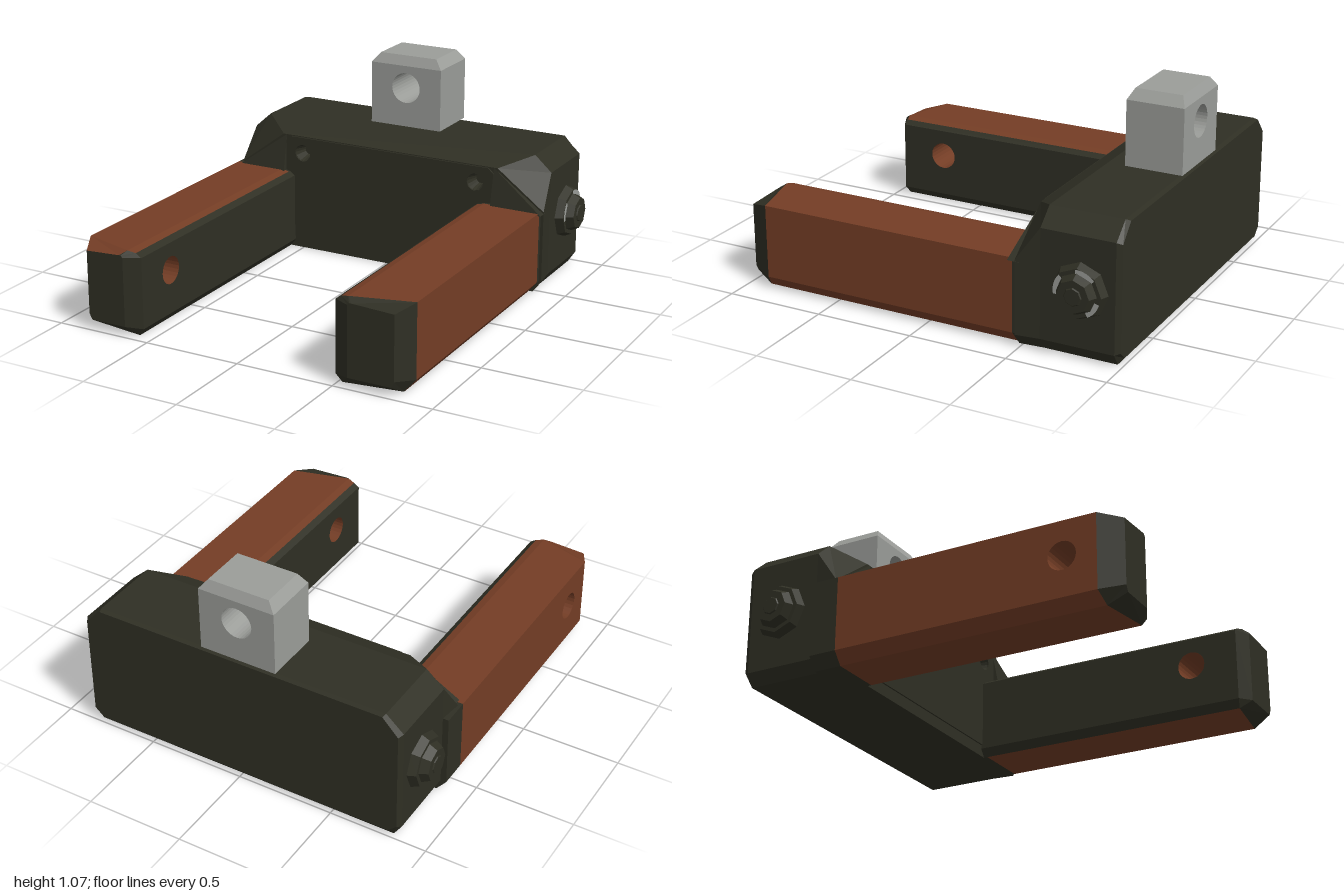
import * as THREE from 'three';
import { ConvexGeometry } from 'three/addons/geometries/ConvexGeometry.js';

const mat = (name, color) => new THREE.MeshStandardMaterial({ name, color, flatShading: true, side: THREE.DoubleSide });

// Skin rings (counter-clockwise seen from +z, ordered by rising z).
// pick(i, j) gives the material index of a panel, or -1 to leave it open.
function loft(rings, { pick = () => 0, capStart = true, capEnd = true, capMat = 0, flip = false } = {}) {
  const buckets = [[], []];
  const tri = (m, a, b, c) => buckets[m].push(...a, ...(flip ? c : b), ...(flip ? b : c));
  const n = rings[0].length;
  for (let i = 0; i < rings.length - 1; i++) {
    for (let j = 0; j < n; j++) {
      const m = pick(i, j), k = (j + 1) % n;
      if (m < 0) continue;
      const a = rings[i][j], b = rings[i][k], c = rings[i + 1][k], d = rings[i + 1][j];
      tri(m, a, b, c);
      tri(m, a, c, d);
    }
  }
  const first = rings[0], last = rings[rings.length - 1];
  for (let j = 1; j < n - 1; j++) {
    if (capStart) tri(capMat, first[0], first[j + 1], first[j]);
    if (capEnd) tri(capMat, last[0], last[j], last[j + 1]);
  }
  const g = new THREE.BufferGeometry();
  g.setAttribute('position', new THREE.Float32BufferAttribute(buckets.flat(), 3));
  g.addGroup(0, buckets[0].length / 3, 0);
  g.addGroup(buckets[0].length / 3, buckets[1].length / 3, 1);
  g.computeVertexNormals();
  return g;
}

function shapeOf(points, holes = []) {
  const s = new THREE.Shape(points.map(([x, y]) => new THREE.Vector2(x, y)));
  for (const [x, y, r] of holes) s.holes.push(new THREE.Path().absarc(x, y, r, 0, Math.PI * 2, true));
  return s;
}

const rect = (x0, y0, x1, y1) => [[x0, y0], [x1, y0], [x1, y1], [x0, y1]];

export function createModel() {
  const dark = mat('darkOlive', 0x2f2f24);
  const rust = mat('rustOrange', 0x743d25);
  const grey = mat('lightGrey', 0x9b9d99);
  const root = new THREE.Group();
  root.name = 'forkBracket';
  const add = (name, geometry, material, parent = root) => {
    const m = new THREE.Mesh(geometry, material);
    m.name = name;
    parent.add(m);
    return m;
  };

  // Main crossbar, chamfered and sloping down at the front
  const half = (pts, z) => [
    ...pts.map(([x, y]) => [x, y, z]),
    ...pts.slice().reverse().map(([x, y]) => [-x, y, z]),
  ];
  const bar = [[0.82, 0], [0.86, 0.06], [0.86, 0.6], [0.77, 0.68]];
  const back = [[0.8, 0.03], [0.845, 0.07], [0.845, 0.59], [0.765, 0.675]];
  const front = [[0.83, 0], [0.875, 0.06], [0.875, 0.43], [0.62, 0.62]];
  const frontRing = half(front, -0.48);
  add('crossbar', loft([half(back, -0.995), half(bar, -0.97), half(bar, -0.6), frontRing], { capEnd: false }), dark);

  // Front wall with two screw sockets and a thin raised panel
  const sockets = [[-0.5, 0.53, 0.045], [0.5, 0.53, 0.045]];
  const wall = new THREE.ShapeGeometry(shapeOf(frontRing, sockets), 10);
  wall.translate(0, 0, -0.48);
  add('frontWall', wall, dark);
  const panel = new THREE.ExtrudeGeometry(
    shapeOf([[-0.6, 0.06], [0.6, 0.06], [0.6, 0.59], [0.57, 0.615], [-0.57, 0.615], [-0.6, 0.59]], sockets),
    { depth: 0.008, bevelEnabled: false, curveSegments: 10 });
  panel.translate(0, 0, -0.48);
  add('frontPanel', panel, dark);
  for (const [x, y, r] of sockets) {
    const tube = new THREE.CylinderGeometry(r, r * 0.6, 0.07, 16, 1, true).rotateX(Math.PI / 2);
    add('screwSocket', tube.translate(x, y, -0.515), dark);
    add('socketFloor', new THREE.CircleGeometry(r * 0.6, 16).translate(x, y, -0.55), dark);
  }

  // Fork arms: rust shell, dark inner face, root and tip
  const holeZ = 0.71, holeY = 0.26, holeR = 0.07;
  function arm(name, s, inn, out, through) {
    const g = new THREE.Group();
    g.name = name;
    root.add(g);
    const section = [[inn + 0.03, 0], [out - 0.05, 0], [out, 0.06], [out, 0.43],
      [inn + 0.07, 0.43], [inn + 0.03, 0.42], [inn, 0.4], [inn, 0.04]];
    const shoulderZ = [0.94, 0.9, 0.88, 0.88, 0.96, 0.95, 0.95, 0.95];
    const tip = [[inn + 0.08, 0.05], [out - 0.07, 0.05], [out - 0.055, 0.08], [out - 0.055, 0.4],
      [inn + 0.1, 0.41], [inn + 0.09, 0.41], [inn + 0.08, 0.4], [inn + 0.08, 0.06]];
    const at = (pts, z) => pts.map(([x, y], j) => [s * x, y, Array.isArray(z) ? z[j] : z]);
    const pick = (i, j) => {
      if (i === 1 && (j === 6 || (j === 2 && through))) return -1;
      if (i === 1) return j < 5 ? 1 : 0;
      return i === 2 && j === 3 && through ? 1 : 0;
    };
    const rings = [at(section, -0.6), at(section, -0.46), at(section, shoulderZ), at(tip, 0.99)];
    add('armShell', loft(rings, { pick, flip: s < 0 }), [dark, rust], g);

    // Flat side faces with the pin hole
    const side = (label, x, dir, y0, y1, z1, material) => {
      const k = -dir;
      const shape = shapeOf(rect(k * -0.46, y0, k * z1, y1), [[k * holeZ, holeY, holeR]]);
      const geo = new THREE.ShapeGeometry(shape, 12).rotateY(dir * Math.PI / 2);
      add(label, geo.translate(x, 0, 0), material, g);
    };
    side('innerFace', s * inn, -s, 0.04, 0.4, 0.95, dark);
    if (through) side('outerFace', s * out, s, 0.06, 0.43, 0.88, rust);

    // Hole lining, closed at the end when blind
    const depth = through ? out - inn : 0.25;
    const lining = new THREE.CylinderGeometry(holeR, holeR, depth, 24, 1, !!through).rotateZ(Math.PI / 2);
    if (!through) {
      const open = new THREE.CylinderGeometry(holeR, holeR, depth, 24, 1, true).rotateZ(Math.PI / 2);
      add('pinHole', open.translate(s * (inn + depth / 2), holeY, holeZ), rust, g);
      const floor = new THREE.CircleGeometry(holeR, 24).rotateY(-s * Math.PI / 2);
      add('pinHoleFloor', floor.translate(s * (inn + depth), holeY, holeZ), rust, g);
    } else {
      add('pinHole', lining.translate(s * (inn + depth / 2), holeY, holeZ), rust, g);
    }

    // Sloped shoulder above the arm root
    const pts = [[0.6, 0.62, -0.48], [0.6, 0.62, -0.5], [0.6, 0.42, -0.44], [0.6, 0.42, -0.5],
      [0.875, 0.42, -0.44], [0.875, 0.42, -0.5]].map(([x, y, z]) => new THREE.Vector3(s * x, y, z));
    add('shoulder', new ConvexGeometry(pts), dark, g);
  }
  arm('leftArm', 1, 0.49, 0.86, false);
  arm('rightArm', -1, 0.55, 0.89, true);

  // Side bolts: bevelled washer, head and small centre cap
  for (const s of [1, -1]) {
    const bolt = new THREE.Group();
    bolt.name = s > 0 ? 'leftBolt' : 'rightBolt';
    bolt.position.set(s * 0.855, 0.34, -0.8);
    bolt.rotation.z = -s * Math.PI / 2;
    root.add(bolt);
    const disc = (name, rTop, rBottom, y0, y1, sides) =>
      add(name, new THREE.CylinderGeometry(rTop, rBottom, y1 - y0, sides).translate(0, (y0 + y1) / 2, 0), dark, bolt);
    disc('washer', 0.12, 0.14, 0, 0.045, 8);
    disc('boltHead', 0.08, 0.1, 0.045, 0.085, 8);
    disc('boltCap', 0.04, 0.045, 0.085, 0.09, 8);
    // Bare metal patches on one washer
    if (s > 0) {
      for (const [start, length] of [[0.5, 0.8], [2.3, 0.9], [4.0, 0.9]]) {
        const patch = new THREE.RingGeometry(0.092, 0.116, 6, 1, start, length).rotateX(-Math.PI / 2);
        add('wornPatch', patch.translate(0, 0.048, 0), grey, bolt);
      }
    }
  }

  // Lug on top with a through hole and a chamfered crown
  const lug = new THREE.Group();
  lug.name = 'topLug';
  lug.position.set(-0.01, 0, 0);
  root.add(lug);
  const block = new THREE.ExtrudeGeometry(shapeOf(rect(-0.2, 0.69, 0.2, 1.015), [[0, 0.897, 0.08]]),
    { depth: 0.29, bevelEnabled: false, curveSegments: 16 });
  add('lugBlock', block.translate(0, 0, -0.99), grey, lug);
  const crown = new THREE.BoxGeometry(0.4, 0.05, 0.29);
  const p = crown.attributes.position;
  for (let i = 0; i < p.count; i++) {
    if (p.getY(i) > 0) p.setXYZ(i, p.getX(i) * 0.8, p.getY(i), p.getZ(i) * 0.82);
  }
  crown.computeVertexNormals();
  add('lugCrown', crown.translate(0, 1.04, -0.845), grey, lug);
  return root;
}
